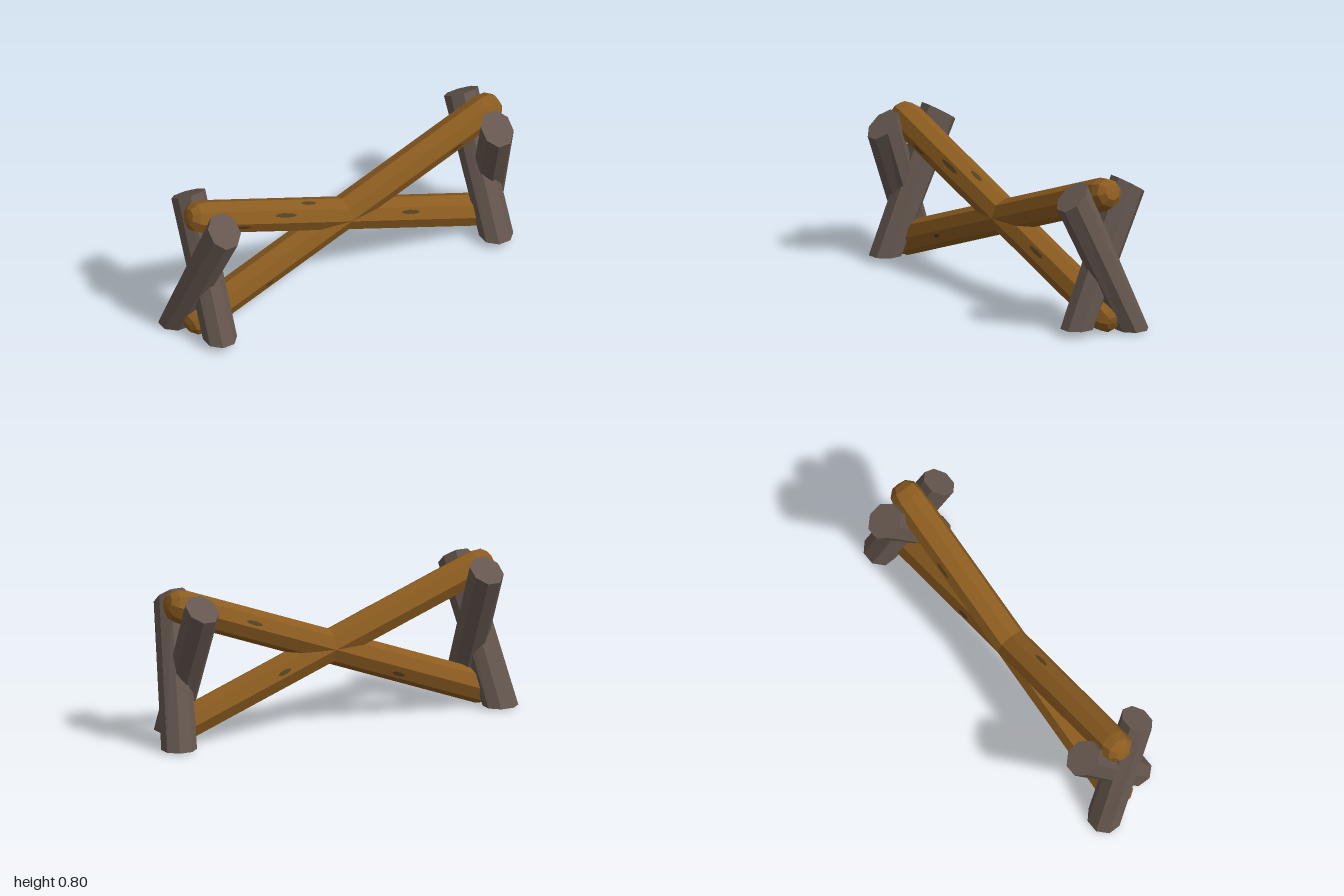
import * as THREE from 'three';

const TILT = THREE.MathUtils.degToRad(20.4);
const CROSS_Y = 0.415;
const R = 0.086;

// Faceted look: split the faces and recompute their normals
function facet(geometry) {
  const g = geometry.toNonIndexed();
  g.computeVertexNormals();
  return g;
}

function addMesh(parent, name, geometry, material) {
  const mesh = new THREE.Mesh(geometry, material);
  mesh.name = name;
  parent.add(mesh);
  return mesh;
}

// Eight-sided post with a level foot and a sloping cut at the top
function postGeometry(side, foot, head) {
  const g = new THREE.CylinderGeometry(1, 1, 1, 8, 1, false, Math.PI / 8);
  const p = g.attributes.position;
  const k = 1 / Math.cos(Math.PI / 8);
  for (let i = 0; i < p.count; i++) {
    const end = p.getY(i) > 0 ? head : foot;
    const dz = p.getZ(i) * k * end.rz;
    p.setXYZ(i, side * end.x + p.getX(i) * k * end.rx, end.y + end.slope * dz, end.z + dz);
  }
  return facet(g);
}

// Eight-sided log along x with blunt, chipped ends; dir points to its raised end
function logGeometry(dir) {
  const profile = [
    [0, -0.995], [0.04, -0.99], [0.072, -0.965], [R, -0.925],
    [R, 0.9], [0.074, 0.95], [0.042, 0.98], [0, 0.985],
  ].map(([r, t]) => new THREE.Vector2(r, t));
  const g = new THREE.LatheGeometry(profile, 8);
  g.rotateZ(-dir * Math.PI / 2);
  return facet(g);
}

// Thin dark bark patch lying on face k of a log
function patchGeometry(t, k, length) {
  const g = new THREE.CircleGeometry(1, 7);
  g.scale(length / 2, 0.012, 1);
  g.translate(t, 0.008, R * Math.cos(Math.PI / 8) + 0.002);
  g.rotateX(-(k + 0.5) * Math.PI / 4);
  return g;
}

export function createModel() {
  const model = new THREE.Group();
  model.name = 'crossedLogBarrier';
  const logWood = new THREE.MeshStandardMaterial({ color: 0x8c5c20 });
  logWood.name = 'golden brown wood';
  const postWood = new THREE.MeshStandardMaterial({ color: 0x65574f });
  postWood.name = 'grey brown wood';
  const bark = new THREE.MeshStandardMaterial({ color: 0x55421f });
  bark.name = 'dark bark';

  // Two long crossed logs, with patches given as [position, face, length]
  const patches = {
    1: [[0.66, -1, 0.08], [-0.52, -1, 0.05], [0.5, 3, 0.1], [-0.4, 4, 0.08]],
    '-1': [[-0.67, -1, 0.1], [-0.42, 0, 0.14], [-0.26, 1, 0.1], [0.37, 0, 0.12], [0.3, 3, 0.08]],
  };
  for (const dir of [1, -1]) {
    const log = new THREE.Group();
    log.name = dir > 0 ? 'logRisingLeft' : 'logRisingRight';
    log.position.set(0, CROSS_Y, 0.004);
    log.rotation.z = dir * TILT;
    addMesh(log, 'log', logGeometry(dir), logWood);
    for (const [t, k, length] of patches[dir]) {
      addMesh(log, 'barkPatch', patchGeometry(t, k, length), bark);
    }
    model.add(log);
  }

  // A pair of crossed posts holds the logs at each end
  for (const side of [1, -1]) {
    const stand = new THREE.Group();
    stand.name = side > 0 ? 'leftStand' : 'rightStand';
    addMesh(stand, 'outerPost', postGeometry(side,
      { x: 0.915, y: 0.02, z: -0.118, rx: 0.085, rz: 0.078, slope: 0 },
      { x: 0.81, y: 0.735, z: 0.178, rx: 0.08, rz: 0.071, slope: -0.84 }), postWood);
    addMesh(stand, 'innerPost', postGeometry(side,
      { x: 0.82, y: 0.047, z: 0.152, rx: 0.08, rz: 0.083, slope: 0 },
      { x: 0.81, y: 0.75, z: -0.17, rx: 0.08, rz: 0.08, slope: 0.62 }), postWood);
    model.add(stand);
  }
  return model;
}
